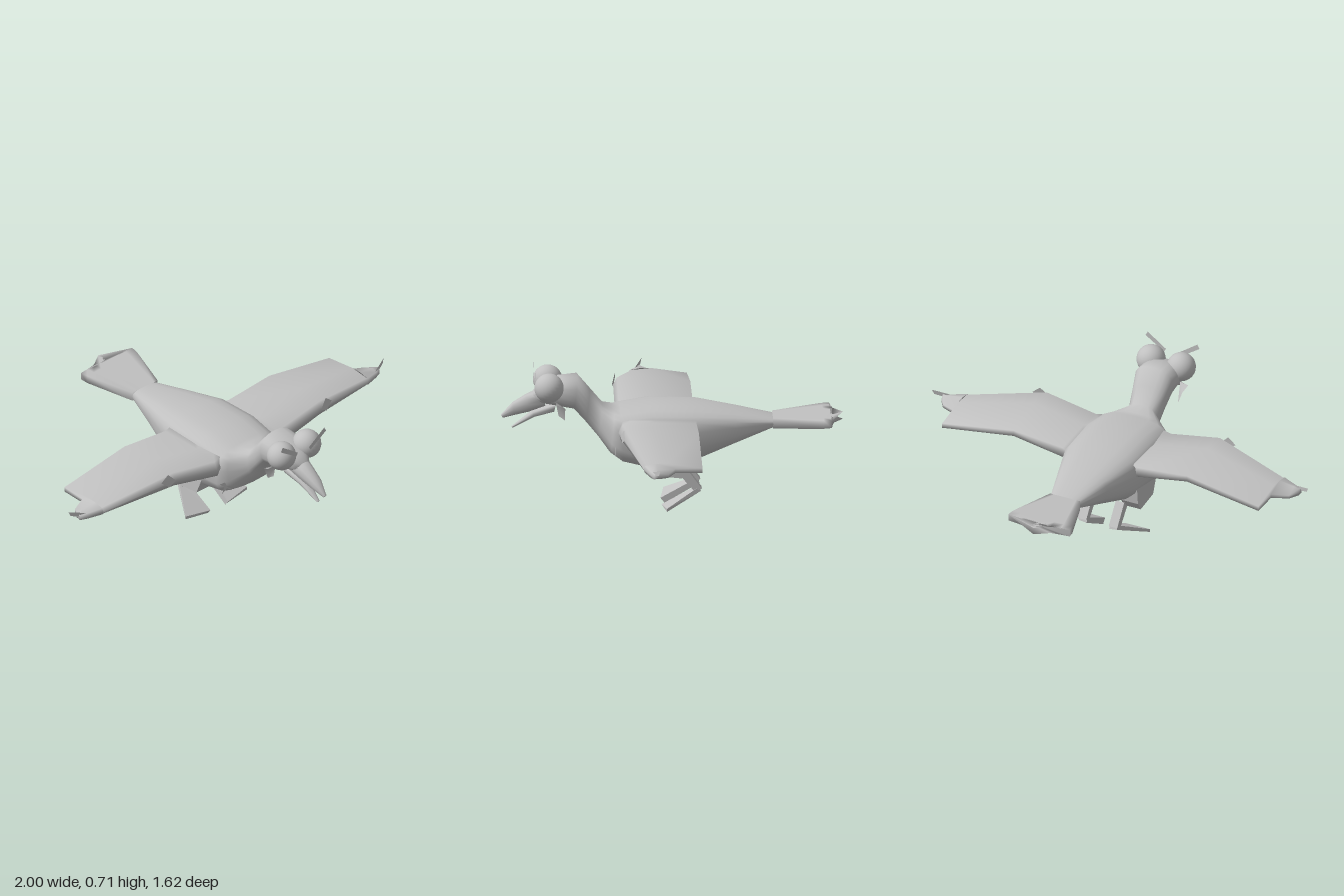
import * as THREE from 'three';

const grey = new THREE.MeshStandardMaterial({ color: 0xc0c0c0, side: THREE.DoubleSide });
grey.name = 'plain grey';

function mesh(name, geometry) {
  const m = new THREE.Mesh(geometry, grey);
  m.name = name;
  return m;
}

// Skin over a list of rings (each a list of [x, y, z]), capped at both ends.
function loft(rings, flat = false) {
  const n = rings[0].length, last = (rings.length - 1) * n, index = [];
  for (let i = 0; i < rings.length - 1; i++) {
    for (let j = 0; j < n; j++) {
      const a = i * n + j, b = i * n + (j + 1) % n;
      index.push(a, b, b + n, a, b + n, a + n);
    }
  }
  for (let j = 1; j < n - 1; j++) {
    index.push(0, j + 1, j, last, last + j, last + j + 1);
  }
  let g = new THREE.BufferGeometry();
  g.setAttribute('position', new THREE.Float32BufferAttribute(rings.flat(2), 3));
  g.setIndex(index);
  if (flat) g = g.toNonIndexed();
  g.computeVertexNormals();
  return g;
}

// Cross-section: top point, bottom point, half width, height of the widest line,
// and squareness of the lower half (1 is round, 0 is a box).
function ring([zTop, yTop, zBot, yBot, half, mid = 0.5, square = 0.8], n = 20) {
  const pts = [];
  for (let j = 0; j < n; j++) {
    const a = (j / n) * Math.PI * 2, c = Math.cos(a), s = Math.sin(a);
    const power = s > 0 ? Math.max(square, 0.75) : square;
    const x = half * Math.sign(c) * Math.abs(c) ** power;
    const v = Math.sign(s) * Math.abs(s) ** power;
    const t = v > 0 ? mid + v * (1 - mid) : mid + v * mid;
    pts.push([x, yBot + t * (yTop - yBot), zBot + t * (zTop - zBot)]);
  }
  return pts;
}

// Flat tail section: upper row from +x to -x, lower row back, with a scalloped end.
function tailRing(z, half, top, bottom, sweep) {
  const row = [1, 0.72, 0.42, 0, -0.42, -0.72, -1];
  const at = y => u => [u * half, y, z + sweep * Math.min(1, Math.abs(u) / 0.45) * (1 + 0.35 * Math.max(0, Math.abs(u) - 0.45))];
  return [...row.map(at(top)), ...[...row].reverse().map(at(bottom))];
}

// Thin flat polygon through corners in space.
function plate(points) {
  const g = new THREE.BufferGeometry(), index = [];
  g.setAttribute('position', new THREE.Float32BufferAttribute(points.flat(), 3));
  for (let j = 1; j < points.length - 1; j++) index.push(0, j, j + 1);
  g.setIndex(index);
  g.computeVertexNormals();
  return g;
}

// Side outline given as (z, y), thickened across x.
function sideBlock(points, xMin, xMax) {
  const shape = new THREE.Shape(points.map(p => new THREE.Vector2(...p)));
  return new THREE.ExtrudeGeometry(shape, { depth: xMax - xMin, bevelEnabled: false })
    .rotateY(-Math.PI / 2).translate(xMax, 0, 0);
}

function buildSide(name) {
  const g = new THREE.Group();
  g.name = name;

  // Wing: x, leading z, trailing z, top y, bottom y, trailing y, half trailing thickness
  const wing = [
    [0.1, 0.25, -0.11, 0.49, 0.36, 0.45, 0.05],
    [0.2, 0.26, -0.11, 0.462, 0.385, 0.44, 0.025],
    [0.46, 0.257, -0.11, 0.512, 0.445, 0.475, 0.015],
    [0.84, 0.17, -0.11, 0.44, 0.408, 0.413, 0.012],
    [0.842, 0.17, 0.02, 0.44, 0.408, 0.413, 0.01],
    [0.92, 0.14, 0.055, 0.43, 0.402, 0.41, 0.008],
    [0.95, 0.125, 0.1, 0.425, 0.402, 0.41, 0.006],
  ].map(([x, lead, trail, top, bot, back, half]) => {
    const at = t => trail + (lead - trail) * t;
    return [
      [x, back + half, trail], [x, top + 0.01, at(0.6)], [x, top, at(0.95)],
      [x, (top + bot) / 2, lead], [x, bot, at(0.97)],
      [x, (bot + back) / 2, at(0.6)], [x, back - half, trail],
    ];
  });
  g.add(mesh('wing', loft(wing)));
  g.add(mesh('wingTipFeather', plate([[0.9, 0.402, 0.14], [0.99, 0.432, 0.103], [1, 0.455, 0.098], [0.91, 0.43, 0.135]])));
  g.add(mesh('wingBendFeather', plate([[0.46, 0.48, 0.262], [0.5, 0.455, 0.255], [0.54, 0.49, 0.245], [0.5, 0.522, 0.247]])));

  // Eye and brow
  const eye = mesh('eye', new THREE.SphereGeometry(0.07, 24, 16));
  eye.position.set(0.08, 0.615, 0.585);
  g.add(eye);
  g.add(mesh('brow', plate([[0.035, 0.645, 0.652], [0.045, 0.627, 0.652], [0.143, 0.693, 0.652], [0.132, 0.715, 0.652]])));

  // Cheek and chest tufts
  g.add(mesh('cheekTuft', plate([[0.09, 0.55, 0.555], [0.135, 0.545, 0.55], [0.125, 0.525, 0.51], [0.1, 0.46, 0.51], [0.09, 0.48, 0.54]])));
  const star = new THREE.Shape();
  for (let i = 0; i < 10; i++) {
    const a = i * Math.PI / 5 + 0.4, r = i % 2 ? 0.02 : 0.053;
    star[i ? 'lineTo' : 'moveTo'](0.145 + r * Math.cos(a), 0.325 + r * Math.sin(a));
  }
  g.add(mesh('chestTuft', new THREE.ShapeGeometry(star).translate(0, 0, 0.272)));

  // Leg: thigh, shin and webbed foot
  g.add(mesh('thigh', sideBlock([[0.14, 0.325], [0.09, 0.205], [-0.04, 0.19], [-0.07, 0.235], [-0.08, 0.33]], 0.09, 0.18)));
  g.add(mesh('shin', sideBlock([[-0.03, 0.19], [-0.105, 0.105], [-0.14, 0.118], [-0.065, 0.22]], 0.06, 0.105)));
  g.add(mesh('foot', loft([
    [[0.1, 0.105, -0.135], [0.1, 0.125, -0.125], [0.06, 0.125, -0.125], [0.06, 0.1, -0.135]],
    [[0.195, 0.03, 0.03], [0.195, 0.045, 0.03], [0.055, 0.03, 0.05], [0.055, 0.005, 0.03]],
  ], true)));
  return g;
}

export function createModel() {
  const bird = new THREE.Group();
  bird.name = 'bird';

  // Body, neck and head in one skin
  const body = [
    [-0.48, 0.45, -0.48, 0.4, 0.08, 0.5, 0.6],
    [-0.3, 0.486, -0.3, 0.325, 0.135, 0.6, 0.7],
    [-0.11, 0.52, -0.11, 0.25, 0.193, 0.62, 0.68],
    [0.1, 0.527, 0.1, 0.215, 0.2, 0.65, 0.62],
    [0.245, 0.503, 0.235, 0.25, 0.19, 0.62, 0.58],
    [0.275, 0.503, 0.295, 0.29, 0.155, 0.55, 0.65],
    [0.33, 0.52, 0.35, 0.36, 0.078],
    [0.39, 0.59, 0.41, 0.435, 0.088],
    [0.45, 0.66, 0.465, 0.498, 0.1],
    [0.54, 0.65, 0.55, 0.515, 0.098],
    [0.62, 0.615, 0.62, 0.525, 0.06],
    [0.66, 0.58, 0.65, 0.53, 0.035],
  ].map(s => ring(s));
  bird.add(mesh('body', loft(body)));

  // Fanned tail
  bird.add(mesh('tail', loft([
    tailRing(-0.815, 0.163, 0.46, 0.425, 0.05),
    tailRing(-0.74, 0.157, 0.46, 0.42, 0.02),
    tailRing(-0.48, 0.08, 0.447, 0.402, 0),
  ])));

  // Beak
  bird.add(mesh('upperBeak', loft([
    [0.61, 0.6, 0.6, 0.51, 0.05],
    [0.69, 0.565, 0.68, 0.48, 0.037],
    [0.755, 0.525, 0.745, 0.465, 0.027],
    [0.81, 0.465, 0.8, 0.45, 0.008],
  ].map(s => ring(s, 10)))));
  bird.add(mesh('lowerBeak', loft([
    [0.55, 0.53, 0.56, 0.48, 0.045],
    [0.66, 0.485, 0.65, 0.455, 0.028],
    [0.76, 0.408, 0.755, 0.4, 0.008],
  ].map(s => ring(s, 10)))));

  // Mirrored pairs
  const right = buildSide('rightSide');
  right.scale.x = -1;
  bird.add(buildSide('leftSide'), right);
  return bird;
}
